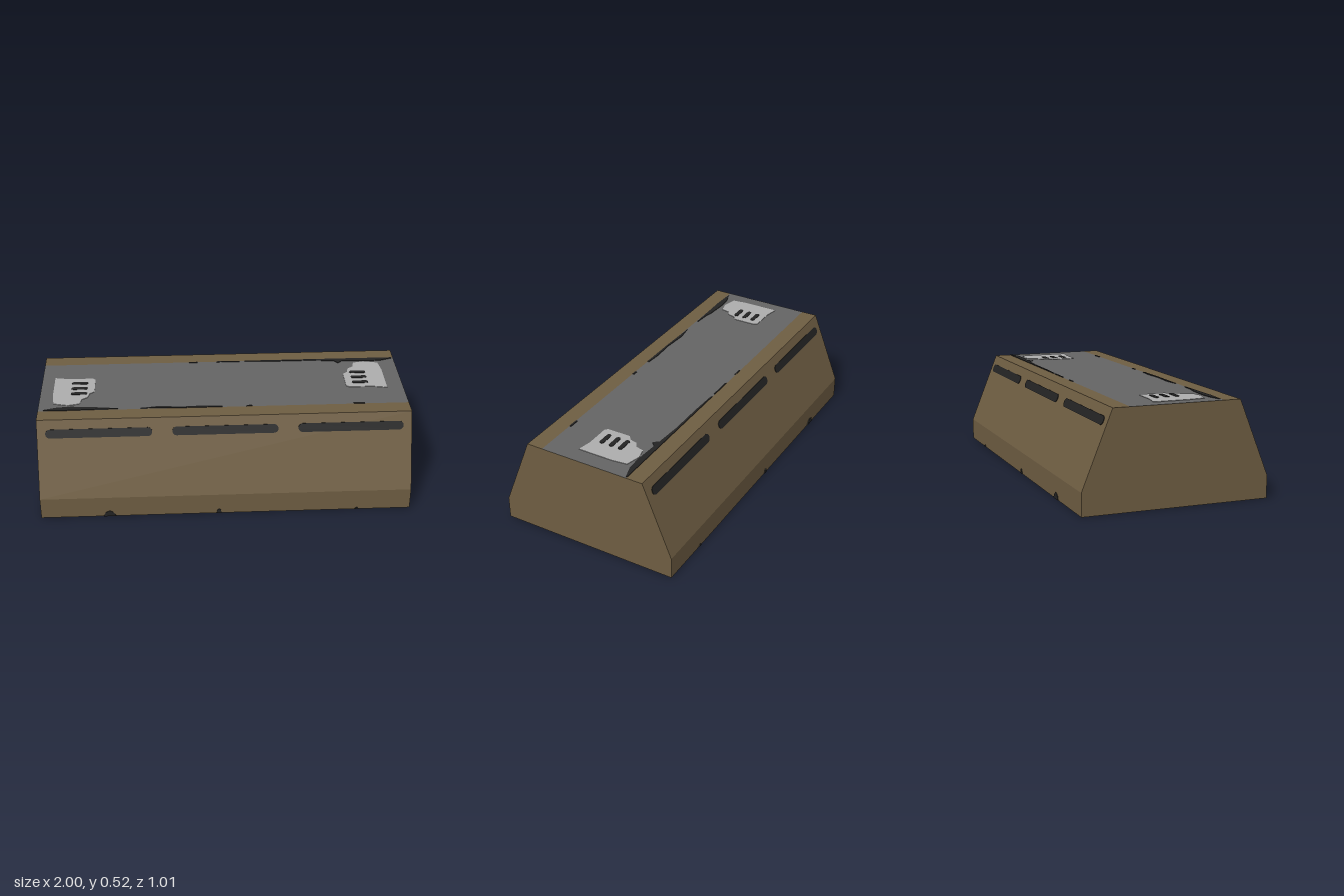
import * as THREE from 'three';

const paint = (name, color) =>
  new THREE.MeshStandardMaterial({ name, color, side: THREE.DoubleSide });

export function createModel() {
  const brown = paint('brown', 0x6e5d42);
  const grey = paint('grey', 0x646464);
  const pale = paint('paleGrey', 0xacacac);
  const black = paint('black', 0x232323);

  const model = new THREE.Group();
  model.name = 'barrierShell';

  // Half section from the ground up to the top deck, as [z, y]
  const FOOT = [0.5, 0], KNEE = [0.5, 0.12], CREST = [0.34, 0.52], DECK = [0.25, 0.52];

  const add = (parent, name, geometry, material) => {
    const mesh = new THREE.Mesh(geometry, material);
    mesh.name = name;
    parent.add(mesh);
    return mesh;
  };
  const outline = (points) => new THREE.Shape(points.map(([a, b]) => new THREE.Vector2(a, b)));

  // Flat panel running the full length between two section points
  const panel = (name, [z0, y0], [z1, y1], material) => {
    const g = new THREE.BufferGeometry();
    g.setAttribute('position', new THREE.Float32BufferAttribute(
      [-1, y0, z0, 1, y0, z0, 1, y1, z1, -1, y1, z1], 3));
    g.setIndex([0, 1, 2, 0, 2, 3]);
    g.computeVertexNormals();
    add(model, name, g, material);
  };

  // Thin painted plate straddling the shell, so it shows inside and out
  const plate = (parent, name, shape, material, depth = 0.006) => {
    const g = new THREE.ExtrudeGeometry(shape, { depth, bevelEnabled: false, curveSegments: 8 });
    g.translate(0, 0, -depth / 2);
    return add(parent, name, g, material);
  };

  // Rounded slot centred on x, y
  const slot = (x, y, width, height) => {
    const r = height / 2, h = width / 2 - r;
    const s = new THREE.Shape();
    s.absarc(x + h, y, r, -Math.PI / 2, Math.PI / 2);
    s.absarc(x - h, y, r, Math.PI / 2, Math.PI * 1.5);
    s.closePath();
    return s;
  };

  // Long walls, open underneath
  for (const [side, s] of [['front', 1], ['back', -1]]) {
    const at = ([z, y]) => [s * z, y];
    const pairs = [['Skirt', FOOT, KNEE], ['Slope', KNEE, CREST], ['Rim', CREST, DECK]];
    for (const [part, a, b] of pairs) {
      // Swapping the ends keeps the mirrored wall facing outwards
      if (s > 0) panel(side + part, at(a), at(b), brown);
      else panel(side + part, at(b), at(a), brown);
    }
  }
  panel('topDeck', DECK, [-DECK[0], DECK[1]], grey);

  // End caps
  const half = [FOOT, KNEE, CREST];
  const section = [...half, ...half.map(([z, y]) => [-z, y]).reverse()];
  for (const s of [1, -1]) {
    const cap = add(model, s > 0 ? 'leftEnd' : 'rightEnd',
      new THREE.ShapeGeometry(outline(section)), brown);
    cap.rotation.y = s * Math.PI / 2;
    cap.position.x = s;
  }

  // Slots high on each slope and scuffs along each foot
  const lean = Math.atan2(KNEE[0] - CREST[0], CREST[1] - KNEE[1]);
  for (const s of [1, -1]) {
    const wall = new THREE.Group();
    wall.name = s > 0 ? 'frontDetails' : 'backDetails';
    wall.scale.z = s;
    model.add(wall);

    const slope = new THREE.Group();
    slope.name = 'slopeSlots';
    slope.position.set(0, KNEE[1], KNEE[0]);
    slope.rotation.x = -lean;
    wall.add(slope);
    for (const x of [-0.672, 0, 0.672])
      plate(slope, 'slot', slot(x, (0.45 - KNEE[1]) / Math.cos(lean), 0.565, 0.047), black);

    for (const [x, w, h] of [[-0.63, 0.07, 0.035], [-0.04, 0.03, 0.028], [0.71, 0.025, 0.012]]) {
      const scuff = plate(wall, 'footScuff', outline([
        [x - w / 2, 0], [x + w / 2, 0], [x + w / 4, h * 0.75], [x, h], [x - w / 3, h * 0.7],
      ]), black);
      scuff.position.z = FOOT[0];
    }
  }

  // Deck details, drawn as x, z
  const deck = new THREE.Group();
  deck.name = 'deckDetails';
  deck.position.y = DECK[1];
  deck.rotation.x = Math.PI / 2;
  model.add(deck);

  // Worn patches with three vents, the second turned half round
  const patch = [
    [-0.93, -0.1], [-0.85, -0.085], [-0.72, -0.085], [-0.705, -0.07], [-0.705, 0.06],
    [-0.73, 0.08], [-0.74, 0.12], [-0.77, 0.14], [-0.78, 0.185], [-0.84, 0.2],
    [-0.92, 0.18], [-0.93, 0.1],
  ];
  for (const turned of [false, true]) {
    const vent = new THREE.Group();
    vent.name = turned ? 'leftVent' : 'rightVent';
    if (turned) {
      vent.rotation.z = Math.PI;
      vent.position.set(-0.02, -0.012, 0);
    }
    deck.add(vent);
    plate(vent, 'wornPatch', outline(patch), pale, 0.005);
    for (const z of [-0.034, 0.022, 0.077])
      plate(vent, 'ventBar', slot(-0.788, z, 0.09, 0.025), black, 0.009);
  }

  // Ragged dark wear along the deck edges
  const wear = [
    [[0.14, -0.25], [0.14, -0.243], [0.3, -0.238], [0.5, -0.238], [0.65, -0.228], [0.675, -0.2],
      [0.7, -0.225], [0.84, -0.215], [0.92, -0.22], [0.99, -0.243], [0.99, -0.25]],
    [[-0.02, -0.25], [-0.02, -0.243], [0.11, -0.243], [0.11, -0.25]],
    [[-0.18, -0.25], [-0.18, -0.243], [-0.13, -0.243], [-0.13, -0.25]],
    [[-0.97, 0.24], [-0.9, 0.22], [-0.83, 0.214], [-0.7, 0.222], [-0.66, 0.232], [-0.57, 0.238],
      [-0.57, 0.244], [-0.85, 0.25], [-0.97, 0.244]],
    [[-0.45, 0.244], [-0.36, 0.23], [-0.22, 0.24], [-0.1, 0.234], [-0.01, 0.24], [-0.01, 0.25],
      [-0.22, 0.25]],
    [[0.12, 0.25], [0.12, 0.24], [0.15, 0.24], [0.15, 0.25]],
    [[0.7, 0.25], [0.7, 0.24], [0.76, 0.24], [0.76, 0.25]],
  ];
  for (const points of wear) plate(deck, 'edgeWear', outline(points), black);

  return model;
}
